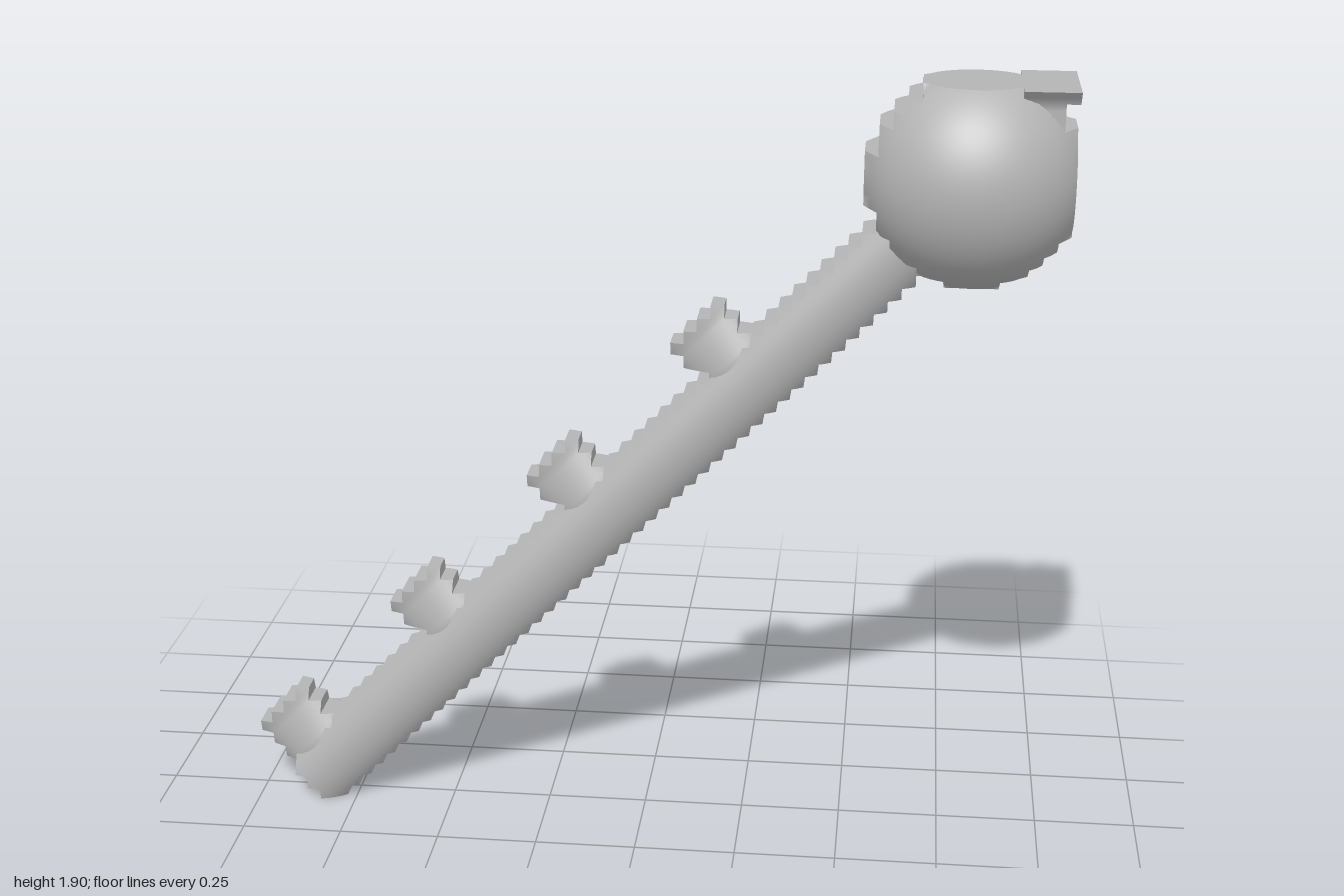
import * as THREE from 'three';

const STEP = 2 / 62; // size of one stair step of the outline
const SUB = 2;       // surface divisions per step

// Solid, symmetric in z: stepped outline inside(x, y), smooth half thickness width(x, y)
function steppedRelief(inside, width) {
  const pos = [], nor = [];
  const has = (i, j) => i >= 0 && i < 62 && j >= 0 && j < 59 &&
    inside(-1 + (i + 0.5) * STEP, (j + 0.5) * STEP);
  const normalAt = (x, y, s) => {
    const e = 0.008;
    return new THREE.Vector3(
      (width(x - e, y) - width(x + e, y)) / (2 * e),
      (width(x, y - e) - width(x, y + e)) / (2 * e), s).normalize();
  };
  const quad = (pts, normals) => {
    for (const k of [0, 1, 2, 0, 2, 3]) {
      pos.push(...pts[k]);
      nor.push(...normals[k].toArray());
    }
  };
  // wall from a to b, with the solid on the left of the direction of travel
  const wall = (ax, ay, bx, by) => {
    const n = new THREE.Vector3(by - ay, ax - bx, 0).normalize();
    const wa = width(ax, ay), wb = width(bx, by);
    quad([[ax, ay, wa], [ax, ay, -wa], [bx, by, -wb], [bx, by, wb]], [n, n, n, n]);
  };
  const h = STEP / SUB;
  for (let i = 0; i < 62; i++) for (let j = 0; j < 59; j++) {
    if (!has(i, j)) continue;
    const x0 = -1 + i * STEP, y0 = j * STEP;
    for (let a = 0; a < SUB; a++) {
      for (let b = 0; b < SUB; b++) {
        const x = x0 + a * h, y = y0 + b * h;
        const c = [[x, y], [x + h, y], [x + h, y + h], [x, y + h]];
        for (const s of [1, -1]) {
          const o = s > 0 ? c : [...c].reverse();
          quad(o.map(([u, v]) => [u, v, s * width(u, v)]), o.map(([u, v]) => normalAt(u, v, s)));
        }
      }
      const p = a * h, q = p + h, x1 = x0 + STEP, y1 = y0 + STEP;
      if (!has(i, j - 1)) wall(x0 + p, y0, x0 + q, y0);
      if (!has(i + 1, j)) wall(x1, y0 + p, x1, y0 + q);
      if (!has(i, j + 1)) wall(x1 - p, y1, x1 - q, y1);
      if (!has(i - 1, j)) wall(x0, y1 - p, x0, y1 - q);
    }
  }
  const g = new THREE.BufferGeometry();
  g.setAttribute('position', new THREE.Float32BufferAttribute(pos, 3));
  g.setAttribute('normal', new THREE.Float32BufferAttribute(nor, 3));
  return g;
}

const round = (v) => Math.sqrt(Math.max(0, 1 - v * v));
// coordinates along and across the diagonal shaft
const along = (x, y) => (x + y) / Math.SQRT2;
const across = (x, y) => (y - x - 0.903) / Math.SQRT2;

export function createModel() {
  const group = new THREE.Group();
  const grey = new THREE.MeshStandardMaterial({ color: 0xb4b4b4 });
  grey.name = 'plain grey';
  const add = (name, inside, width) => {
    const mesh = new THREE.Mesh(steppedRelief(inside, width), grey);
    mesh.name = name;
    group.add(mesh);
  };

  // Diagonal shaft, round with flattened upper and lower sides
  add('shaft',
    (x, y) => Math.abs(across(x, y)) < 0.075 && along(x, y) > -0.575 && along(x, y) < 1.62,
    (x, y) => Math.max(0.045, 0.093 * round(across(x, y) / 0.11)));

  // Four pegs along the upper side; all but the end one have an undercut
  for (let k = 0; k < 4; k++) {
    const centre = -0.502 + k * 11 * STEP * Math.SQRT2;
    add('peg' + (k + 1),
      (x, y) => {
        const u = along(x, y) - centre, d = across(x, y);
        const undercut = k > 0 && d < 0.115 && u < -0.05;
        return Math.abs(u) < 0.075 && d > 0.03 && d < 0.19 && !undercut;
      },
      (x, y) => {
        const u = along(x, y) - centre, d = across(x, y);
        const flare = THREE.MathUtils.clamp((0.17 - d) / 0.1, 0, 1);
        return Math.max(0.02, (0.05 + 0.025 * flare) * round(u / 0.11));
      });
  }

  // Ball with flats where the outline is cut
  add('ball',
    (x, y) => Math.hypot(x - 0.77, y - 1.675) < 0.249,
    (x, y) => Math.max(0.05, 0.245 * round(Math.hypot(x - 0.77, y - 1.675) / 0.262)));

  // Small lip on the upper outer corner of the ball
  add('lip',
    (x, y) => x > 0.86 && y > 1.81 && (x < 0.965 || y > 1.875),
    (x, y) => 0.1 + Math.max(0, y - 1.87) * 0.8);

  return group;
}
